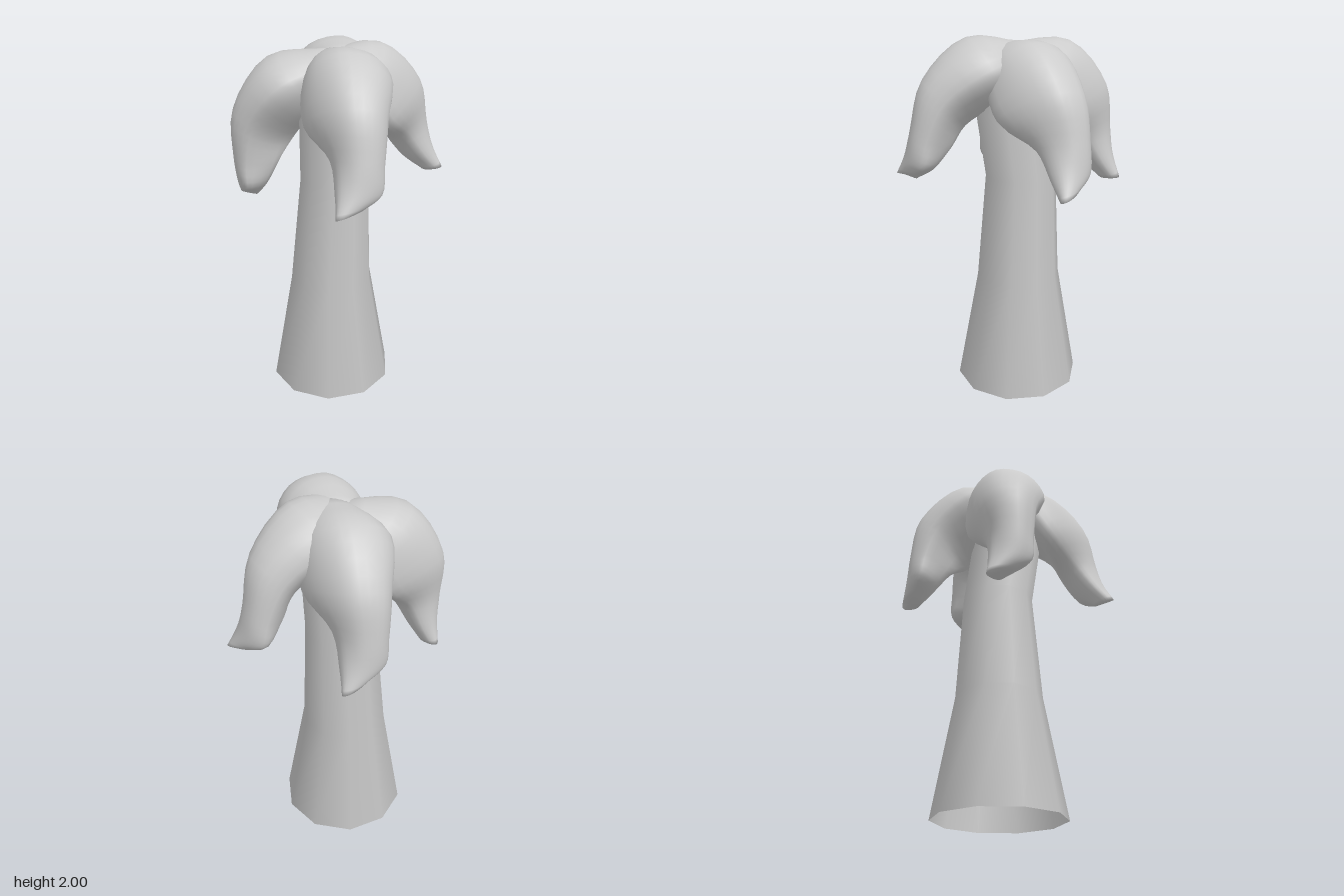
import * as THREE from 'three';

const material = new THREE.MeshStandardMaterial({ color: 0xcccccc, side: THREE.DoubleSide });

// Trunk rings from top to bottom: centre x, y, centre z, radius
const TRUNK = [
  [-0.02, 1.82, -0.03, 0.2],
  [-0.02, 1.6, -0.02, 0.2],
  [-0.03, 1.25, -0.065, 0.195],
  [-0.053, 0.65, -0.055, 0.235],
  [-0.053, 0, -0.05, 0.352],
];

// Frond cross-sections from crown to tip: crest, +x edge, underside, -x edge
const FROND = [
  [[-0.03, 0.06, -0.08], [0.1, -0.03, -0.08], [-0.02, -0.15, -0.06], [-0.13, -0.03, -0.06]],
  [[0.01, 0.095, 0.23], [0.26, -0.07, 0.1], [0, -0.26, 0.08], [-0.18, -0.13, 0.1]],
  [[0.05, -0.11, 0.46], [0.245, -0.22, 0.33], [0.02, -0.36, 0.24], [-0.17, -0.28, 0.22]],
  [[0.09, -0.35, 0.53], [0.235, -0.4, 0.43], [0.08, -0.46, 0.32], [-0.03, -0.4, 0.37]],
  [[0.09, -0.5, 0.57], [0.225, -0.53, 0.47], [0.1, -0.56, 0.41], [0, -0.54, 0.49]],
  [[0.04, -0.6, 0.61], [0.13, -0.59, 0.53], [0.06, -0.63, 0.51], [0.01, -0.62, 0.57]],
];

function trunkGeometry() {
  const sides = 10;
  const geometry = new THREE.CylinderGeometry(1, 1, 1, sides, TRUNK.length - 1, true);
  const pos = geometry.attributes.position;
  for (let i = 0; i < pos.count; i++) {
    const [cx, y, cz, r] = TRUNK[Math.floor(i / (sides + 1))];
    pos.setXYZ(i, cx + r * pos.getX(i), y, cz + r * pos.getZ(i));
  }
  return geometry;
}

const centre = (row) => row.reduce((sum, p) => sum.add(p), new THREE.Vector3()).divideScalar(row.length);

// Section outline with full shoulders between the crest and both edges
function sectionCurve([crest, right, under, left]) {
  const middle = centre([crest, right, under, left]);
  const shoulder = (edge) => centre([crest, edge]).sub(middle).multiplyScalar(1.45).add(middle);
  return new THREE.CatmullRomCurve3([crest, shoulder(right), right, under, left, shoulder(left)], true);
}

// Closed loft: a spline along each of the four rails, a closed outline at each step
function frondGeometry(steps = 20, around = 24) {
  const rails = [0, 1, 2, 3].map((k) =>
    new THREE.CatmullRomCurve3(FROND.map((s) => new THREE.Vector3(...s[k]))));
  const points = [];
  const index = [];
  for (let i = 0; i <= steps; i++) {
    const section = sectionCurve(rails.map((r) => r.getPoint(i / steps)));
    for (let j = 0; j < around; j++) points.push(section.getPoint(j / around));
  }
  const last = steps * around;
  const base = points.length;
  points.push(centre(points.slice(0, around)), centre(points.slice(last, last + around)));
  for (let j = 0; j < around; j++) {
    const n = (j + 1) % around;
    for (let i = 0; i < steps; i++) {
      const a = i * around;
      const c = a + around;
      index.push(a + j, c + j, a + n, a + n, c + j, c + n);
    }
    index.push(base, j, n, base + 1, last + n, last + j);
  }
  const geometry = new THREE.BufferGeometry().setFromPoints(points);
  geometry.setIndex(index);
  geometry.computeVertexNormals();
  return geometry;
}

export function createModel() {
  const model = new THREE.Group();
  model.name = 'palmTree';

  const trunk = new THREE.Mesh(trunkGeometry(), material);
  trunk.name = 'trunk';
  model.add(trunk);

  // Four drooping fronds: name, x, y, z, heading and pitch in degrees
  const geometry = frondGeometry();
  const fronds = [
    ['frontFrond', 0, 1.9, 0, 0, 0],
    ['leftFrond', 0, 1.89, 0, 107, 1],
    ['backFrond', 0, 1.9, -0.08, 176, 7],
    ['rightFrond', -0.13, 1.88, -0.04, 257, 15],
  ];
  for (const [name, x, y, z, heading, pitch] of fronds) {
    const frond = new THREE.Mesh(geometry, material);
    frond.name = name;
    frond.position.set(x, y, z);
    frond.rotation.set(THREE.MathUtils.degToRad(pitch), THREE.MathUtils.degToRad(heading), 0, 'YXZ');
    model.add(frond);
  }
  return model;
}
